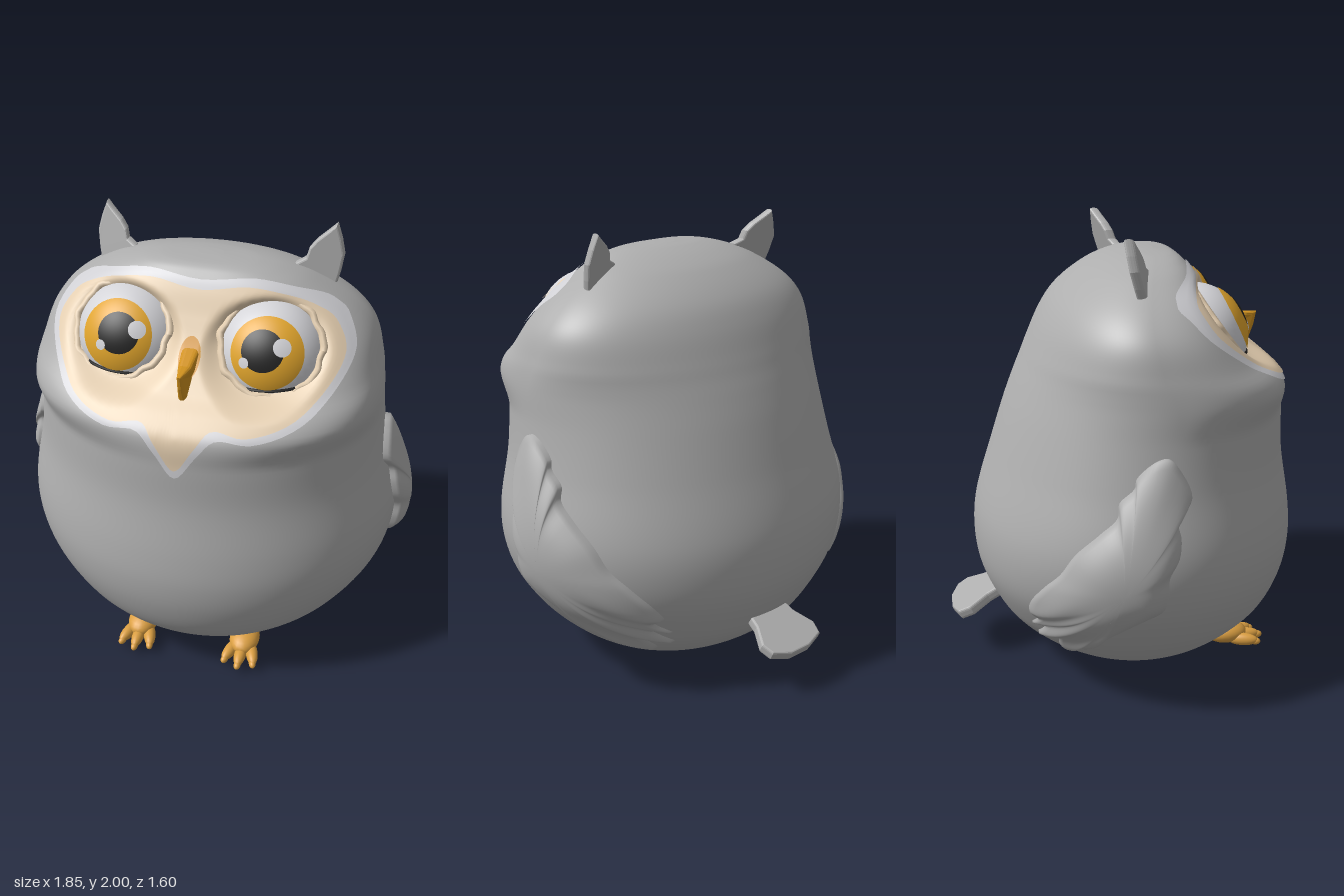
import * as THREE from 'three';

const mat = (name, color) => Object.assign(new THREE.MeshStandardMaterial({ color }), { name });
const { smoothstep } = THREE.MathUtils;

// Body sections: height, half width, front z, back z
const SECTIONS = [
  [0, .3, .34, -.2], [.02, .36, .4, -.27], [.1, .5, .53, -.41], [.2, .62, .645, -.53],
  [.3, .71, .72, -.6], [.45, .805, .775, -.665], [.6, .85, .795, -.685], [.75, .852, .785, -.67],
  [1, .8, .745, -.595], [1.2, .772, .735, -.53], [1.33, .765, .722, -.48], [1.4, .757, .655, -.45],
  [1.46, .745, .57, -.425], [1.6, .7, .44, -.36], [1.7, .61, .37, -.29], [1.8, .455, .31, -.17],
  [1.85, .34, .27, -.07], [1.88, .2, .22, .03], [1.887, .05, .15, .09],
];
const TOP = 1.887;

// Smooth interpolation of one section column
function sample(y, c) {
  const S = SECTIONS, last = S.length - 1;
  let i = 0;
  while (i < last - 1 && y > S[i + 1][0]) i++;
  const slope = k => {
    const a = S[Math.max(k - 1, 0)], b = S[Math.min(k + 1, last)];
    return (b[c] - a[c]) / (b[0] - a[0]);
  };
  const h = S[i + 1][0] - S[i][0], t = (y - S[i][0]) / h, t2 = t * t, t3 = t2 * t;
  return (2 * t3 - 3 * t2 + 1) * S[i][c] + (t3 - 2 * t2 + t) * h * slope(i)
    + (3 * t2 - 2 * t3) * S[i + 1][c] + (t3 - t2) * h * slope(i + 1);
}
function section(y) {
  const w = sample(y, 1), f = sample(y, 2), b = sample(y, 3);
  return { w, zc: (f + b) / 2, r: (f - b) / 2, p: 2 + .8 * smoothstep(y, 1.2, 1.45) };
}
// Front surface, flattened at the face and hollowed around the eyes
function frontZ(x, y) {
  const { w, zc, r, p } = section(y);
  const d = Math.hypot(Math.abs(x) - .3, (y - 1.6) * 1.3);
  const q = Math.min(Math.abs(x) / w, 1);
  return zc + r * (1 - q ** p) ** (1 / p) - .06 * (1 - smoothstep(d, .17, .27)) * (1 - q ** 8);
}
function sideX(z, y) {
  const { w, zc, r } = section(y);
  return w * Math.sqrt(Math.max(0, 1 - ((z - zc) / r) ** 2));
}

function meshData(points, index) {
  const g = new THREE.BufferGeometry();
  g.setAttribute('position', new THREE.Float32BufferAttribute(points, 3));
  g.setIndex(index);
  g.computeVertexNormals();
  return g;
}

function bodyGeometry() {
  const rows = 130, cols = 144, pts = [], idx = [];
  for (let j = 0; j <= rows + 2; j++) {
    const t = Math.min(Math.max((j - 1) / rows, 0), 1);
    const y = TOP * (1 - Math.cos(Math.PI * t)) / 2;
    const k = j === 0 || j === rows + 2 ? 0 : 1;
    const { w, zc, r } = section(y);
    for (let i = 0; i < cols; i++) {
      const a = i / cols * Math.PI * 2, x = w * Math.cos(a);
      const z = i < cols / 2 ? frontZ(x, y) : zc + r * Math.sin(a);
      pts.push(x * k, y, zc + (z - zc) * k);
      if (j < rows + 2) {
        const n = (i + 1) % cols, A = j * cols + i, B = j * cols + n;
        idx.push(A, A + cols, B, B, A + cols, B + cols);
      }
    }
  }
  return meshData(pts, idx);
}

// Concentric-ring patch inside a counterclockwise outline, placed by a rule
function patch(outline, [cu, cv], rings, place) {
  const curve = new THREE.CatmullRomCurve3(outline.map(p => new THREE.Vector3(p[0], p[1], 0)), true);
  const ring = curve.getPoints(outline.length * 5).slice(0, -1), n = ring.length;
  const pts = [...place(cu, cv, 0, false)], idx = [];
  for (let j = 1; j <= rings; j++) {
    const s = Math.min(j / (rings - 1), 1);
    ring.forEach((p, i) => {
      pts.push(...place(cu + (p.x - cu) * s, cv + (p.y - cv) * s, s, j === rings));
      const a = 1 + (j - 1) * n + i, b = 1 + (j - 1) * n + (i + 1) % n;
      if (j === 1) idx.push(0, a, b);
      else idx.push(a - n, a, b, a - n, b, b - n);
    });
  }
  return meshData(pts, idx);
}
const onFace = lift => (x, y) => {
  const yy = Math.min(y, 1.872), xm = section(yy).w * .985;
  const xx = Math.min(Math.max(x, -xm), xm);
  return [xx * 1.006, yy + lift * .6, frontZ(xx, yy) + lift];
};

// Mirror across x, keeping faces outward
function mirrored(g) {
  const m = g.clone();
  if (!m.index) m.setIndex([...Array(m.attributes.position.count).keys()]);
  m.scale(-1, 1, 1);
  const ix = m.index.array;
  for (let i = 0; i < ix.length; i += 3) [ix[i], ix[i + 1]] = [ix[i + 1], ix[i]];
  return m;
}
function bend(g, rule) {
  const p = g.attributes.position, v = new THREE.Vector3();
  for (let i = 0; i < p.count; i++) {
    rule(v.fromBufferAttribute(p, i));
    p.setXYZ(i, v.x, v.y, v.z);
  }
  g.computeVertexNormals();
  return g;
}
function plate(points, depth, bevel) {
  const shape = new THREE.Shape(points.map(p => new THREE.Vector2(...p)));
  return new THREE.ExtrudeGeometry(shape, {
    depth, bevelThickness: bevel, bevelSize: bevel * .6, bevelSegments: 3,
  }).translate(0, 0, -depth / 2);
}

export function createModel() {
  const owl = new THREE.Group();
  owl.name = 'owl';
  const feathers = mat('grey feathers', 0xaeaeae), beige = mat('beige face', 0xe2ccae);
  const pale = mat('pale fringe', 0xcfcfd3), white = mat('eye white', 0xd4d4d8);
  const amber = mat('amber iris', 0xe0a42c), black = mat('black pupil', 0x222222);
  const horn = mat('orange beak', 0xd1921f), skin = mat('orange feet', 0xdb9f42);
  const add = (name, g, m, parent = owl) => {
    const mesh = new THREE.Mesh(g, m);
    mesh.name = name;
    parent.add(mesh);
    return mesh;
  };
  const pair = (name, g, m) => {
    add('left ' + name, g, m);
    add('right ' + name, mirrored(g), m);
  };

  add('body', bodyGeometry(), feathers);

  // Heart-shaped face with a pale fringe
  const half = [[.08, 1.30], [.14, 1.372], [.28, 1.36], [.46, 1.41], [.565, 1.5], [.61, 1.6],
    [.555, 1.7], [.47, 1.755], [.36, 1.795], [.2, 1.822]];
  const heart = [[0, 1.19], ...half, [0, 1.8], ...half.map(([x, y]) => [-x, y]).reverse()];
  const fringe = heart.map(([x, y]) => {
    const l = Math.hypot(x, y - 1.58);
    return [x * (1 + .035 / l), y + (y - 1.58) * .035 / l];
  });
  add('face fringe', patch(fringe, [0, 1.58], 40, onFace(.005)), pale);
  add('face', patch(heart, [0, 1.58], 40, onFace(.011)), beige);

  // Beak and the painted spot above it
  const spot = Array.from({ length: 12 }, (_, i) =>
    [.045 * Math.cos(i * Math.PI / 6), 1.57 + .07 * Math.sin(i * Math.PI / 6)]);
  add('beak base', patch(spot, [0, 1.57], 6, onFace(.016)), horn);
  const beak = plate([[.42, 1.47], [.54, 1.465], [.595, 1.465], [.615, 1.52], [.625, 1.565], [.55, 1.565],
    [.44, 1.6]], .03, .024).rotateY(-Math.PI / 2);
  add('beak', bend(beak, v => { v.x *= 1 - .75 * smoothstep(v.z, .48, .65); }), horn);

  // Eyes: ball, iris, pupil, glints, lids
  const R = .24;
  for (const side of [1, -1]) {
    const eye = new THREE.Group();
    eye.name = side > 0 ? 'left eye' : 'right eye';
    eye.position.set(.3 * side, 1.537, .271);
    owl.add(eye);
    add('eyeball', new THREE.SphereGeometry(R, 48, 32), white, eye);
    const cap = (name, m, yaw, pitch, angle, lift) => {
      const g = new THREE.SphereGeometry(R + lift, 40, 10, 0, Math.PI * 2, 0, angle);
      g.rotateX(Math.PI / 2 - pitch).rotateY(yaw);
      add(name, g, m, eye);
    };
    cap('iris', amber, .08 * side, .46, .66, .003);
    cap('pupil', black, 0, .5, .36, .006);
    cap('large glint', white, .38, .56, .15, .009);
    cap('small glint', white, -.3, .25, .09, .009);
    const lid = bend(new THREE.TorusGeometry(.207, .016, 8, 72), v => {
      const a = Math.atan2(v.y, v.x);
      v.multiplyScalar(1 + .025 * Math.sin(9 * a) + .015 * Math.sin(17 * a + 1));
    });
    const ring = add('eyelid', lid, beige, eye);
    const n = new THREE.Vector3(.12 * side, .6, .79).normalize();
    ring.quaternion.setFromUnitVectors(new THREE.Vector3(0, 0, 1), n);
    ring.position.copy(n).multiplyScalar(.135);
    const line = Array.from({ length: 9 }, (_, i) => {
      const x = (i - 4) * .043, y = -.055 + .06 * x * side;
      return new THREE.Vector3(x, y, Math.sqrt(R * R - x * x - y * y) + .002);
    });
    add('lower lid line', new THREE.TubeGeometry(new THREE.CatmullRomCurve3(line), 24, .007, 6), black, eye);
  }

  // Ear tufts, leaning back and outward
  const ear = plate([[.35, 1.78], [.5, 1.71], [.52, 1.8], [.53, 1.87], [.515, 1.93], [.497, 1.985],
    [.475, 1.965], [.43, 1.93], [.405, 1.9], [.395, 1.86], [.355, 1.84]], .012, .016);
  pair('ear tuft', bend(ear, v => { v.z += .05 - (v.x - .36) * .35 - (v.y - 1.83) * .25; }), feathers);

  // Wings hugging the sides, with ragged feather tips (z, y)
  const wingEdge = [[.08, 1.16], [.03, 1.15], [-.05, 1.08], [-.06, 1.04], [-.12, .98], [-.13, .92],
    [-.2, .85], [-.3, .75], [-.36, .65], [-.42, .57], [-.47, .47], [-.475, .4], [-.44, .38], [-.46, .31],
    [-.41, .33], [-.43, .24], [-.36, .28], [-.34, .19], [-.31, .16], [-.28, .22], [-.22, .25],
    [-.18, .33], [-.11, .41], [-.02, .47], [.05, .52], [.07, .6], [.07, .68], [.11, .76], [.12, .84],
    [.11, .91], [.17, 1], [.12, 1.12]];
  const wing = patch(wingEdge.map(([z, y]) => [-z, y]).reverse(), [.12, .62], 18, (h, y, s, last) => {
    const ridge = .012 * s * Math.sin(50 * (-.8 * h - .6 * y)) * (1 - smoothstep(y, .35, .6));
    const off = last ? -.03 : .022 + .055 * (1 - s ** 4) + ridge;
    return [sideX(-h, y) + off, y, -h];
  });
  pair('wing', wing, feathers);

  // Tail fan
  const tail = plate([[-.09, -.06], [.09, -.06], [.11, .08], [.155, .17], [.14, .22], [.06, .255],
    [-.05, .255], [-.14, .225], [-.155, .17], [-.11, .08]], .02, .014);
  add('tail', tail.rotateX(-2.03).translate(0, .31, -.565), feathers);

  // Feet with three toes
  const foot = (x, y, z, sx, sy, sz, yaw = 0) =>
    new THREE.SphereGeometry(1, 20, 14).scale(sx, sy, sz).rotateY(yaw).translate(x, y, z);
  pair('foot', foot(.25, .075, .48, .07, .052, .1), skin);
  [-1, 0, 1].forEach((k, i) => {
    const name = ['inner', 'middle', 'outer'][i];
    pair(name + ' toe', foot(.25 + k * .05, .052, .55 + (k ? 0 : .02), .028, .03, .075, k * .3), skin);
    pair(name + ' claw', foot(.25 + k * .066, .045, .61 + (k ? 0 : .025), .016, .018, .025, k * .3), skin);
  });
  return owl;
}
